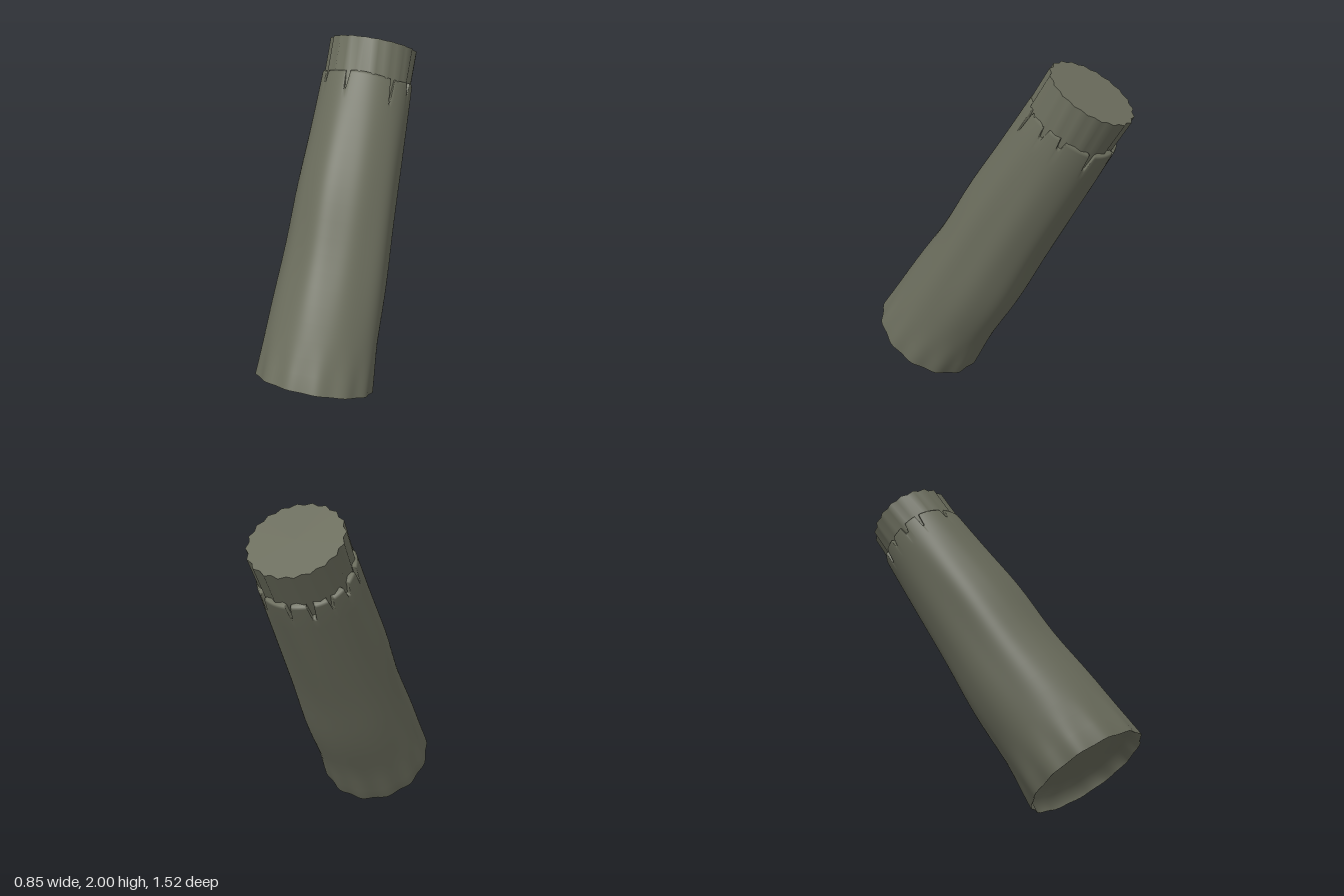
import * as THREE from 'three';

const BASE = new THREE.Vector3(0.08, 0.18, 0.465);
const TIP = new THREE.Vector3(-0.17, 1.871, -0.54);
const LENGTH = BASE.distanceTo(TIP);
const SLEEVE_TOP = 1.79;

// Slits in the sleeve's upper edge: [angle from the front, depth]
const SLITS = [[0.08, 0.1], [-0.55, 0.06], [1.1, 0.12], [1.65, 0.06], [2.05, 0.05],
  [2.75, 0.09], [-1.2, 0.09], [-1.6, 0.06], [-2.0, 0.06], [-2.4, 0.09], [-2.85, 0.08]];

// Smooth surface through a stack of rings; each ring maps an angle to [radius, height, shift]
function loft(rings, n) {
  const pos = [], index = [];
  rings.forEach((ring, i) => {
    for (let j = 0; j < n; j++) {
      const a = (j / n) * Math.PI * 2;
      const [r, y, shift = 0] = ring(a);
      pos.push(r * Math.sin(a) - shift, y, r * Math.cos(a) - shift);
      if (i === rings.length - 1) continue;
      const k = (j + 1) % n;
      const p = i * n + j, q = i * n + k;
      index.push(p, q, p + n, q, q + n, p + n);
    }
  });
  const g = new THREE.BufferGeometry();
  g.setAttribute('position', new THREE.Float32BufferAttribute(pos, 3));
  g.setIndex(index);
  g.computeVertexNormals();
  return g;
}

const bump = (v, centre, width) => Math.exp(-(((v - centre) / width) ** 2));

// Tapering sleeve radius with soft folds, dents and a lightly rippled foot
function sleeveRadius(a, y) {
  const t = y / SLEEVE_TOP;
  const belly = Math.sin(Math.PI * Math.min(t, 1));
  const front = Math.max(0, Math.cos(a)), back = Math.max(0, -Math.cos(a));
  const dents = front * (0.006 * bump(t, 0.64, 0.12) - 0.014 * bump(t, 0.42, 0.14))
    + back * (0.012 * bump(t, 0.36, 0.14) - 0.006 * bump(t, 0.15, 0.08));
  const folds = 0.005 * Math.sin(5 * a + 1.2 * y) + 0.003 * Math.sin(9 * a + 0.8 * y);
  const ripple = 0.006 * Math.sin(13 * a) * Math.max(0, 1 - t * 7);
  return 0.343 - 0.082 * t + dents + folds * belly + ripple;
}

function slitDepth(a) {
  let depth = 0;
  for (const [angle, d] of SLITS) {
    const off = Math.abs(Math.atan2(Math.sin(a - angle), Math.cos(a - angle)));
    if (off < 0.045) depth = Math.max(depth, d);
  }
  return depth;
}

export function createModel() {
  const olive = new THREE.MeshStandardMaterial({ color: 0x6a6c5c, side: THREE.DoubleSide });
  olive.name = 'olive grey';
  const model = new THREE.Group();
  model.name = 'leaningColumn';

  // Sleeve: recessed underside, dented wall, turned-in and slit upper edge
  const floor = (s, y) => (a) => [s * sleeveRadius(a, 0), y];
  const rings = [floor(0, 0.085), floor(0.6, 0.085), floor(0.955, 0.08), floor(0.985, 0)];
  const wall = (y) => (a) => [sleeveRadius(a, y), y, 0.006 * y / SLEEVE_TOP];
  for (let i = 0; i <= 17; i++) rings.push(wall(i * 0.096));
  const edge = (inset, drop) => (a) => {
    const y = SLEEVE_TOP - drop - slitDepth(a);
    return [sleeveRadius(a, y) - inset, y + 0.006 * Math.sin(4 * a), 0.006];
  };
  rings.push(edge(0, 0.015), edge(0.005, 0), edge(0.035, 0));
  const sleeve = new THREE.Mesh(loft(rings, 180), olive);
  sleeve.name = 'sleeve';
  model.add(sleeve);

  // Fluted core standing out of the sleeve, with a flat fluted cap
  const flute = (a) => 0.252 - 0.014 * Math.abs(Math.sin(10 * a));
  const core = new THREE.Mesh(loft([
    (a) => [flute(a), 1.5],
    (a) => [flute(a), LENGTH],
    (a) => [flute(a), LENGTH],
    () => [0, LENGTH],
  ], 40), olive);
  core.name = 'flutedCore';
  model.add(core);

  // Lean the column back and to its right
  const axis = TIP.clone().sub(BASE).normalize();
  model.quaternion.setFromUnitVectors(new THREE.Vector3(0, 1, 0), axis);
  model.position.copy(BASE);
  const root = new THREE.Group();
  root.name = 'column';
  root.add(model);
  return root;
}
